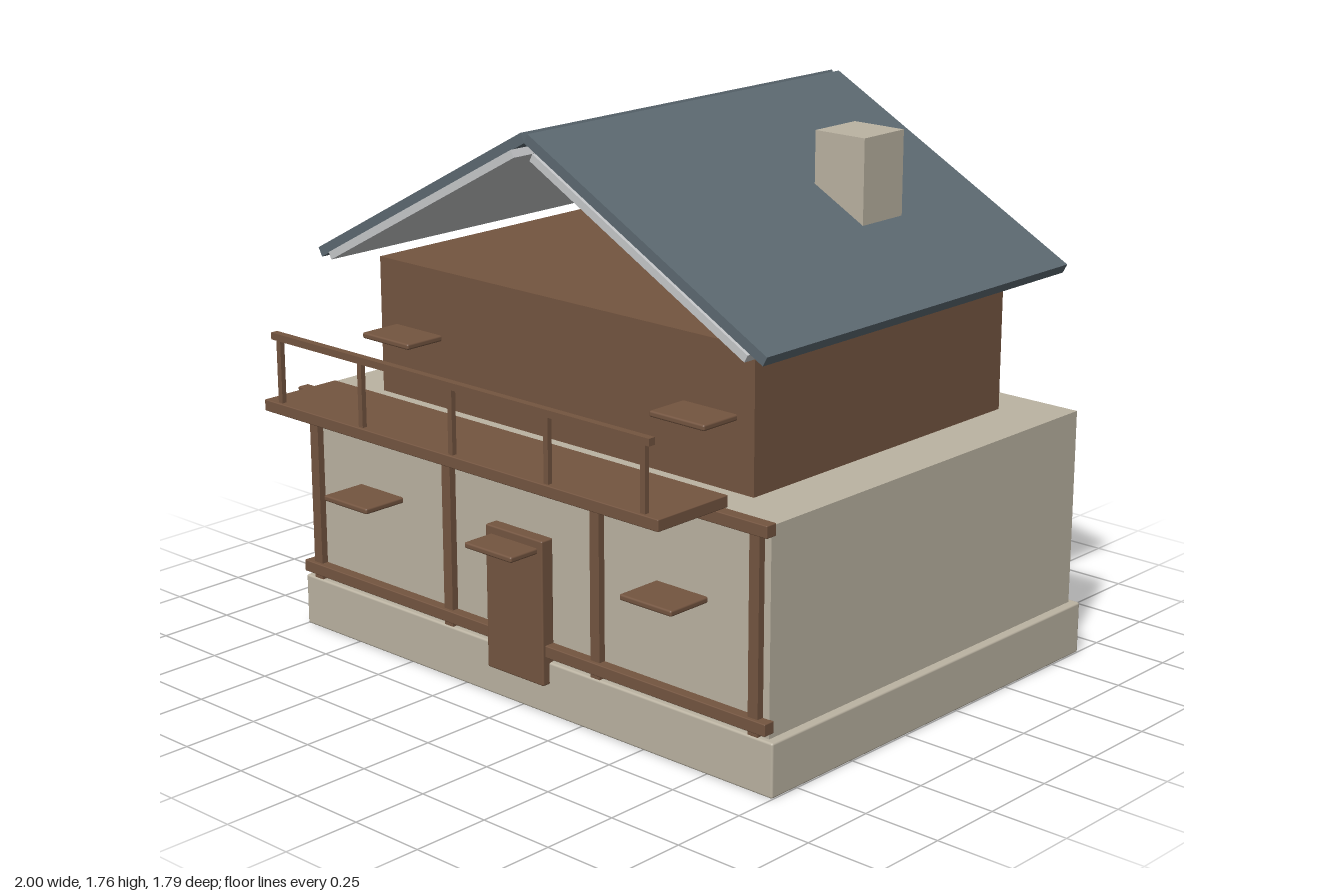
import * as THREE from 'three';
import { RoundedBoxGeometry } from 'three/addons/geometries/RoundedBoxGeometry.js';

const material = (name, color) => {
  const m = new THREE.MeshStandardMaterial({ color });
  m.name = name;
  return m;
};

export function createModel() {
  const stone = material('stone', 0xbbb3a2);
  const timber = material('timber', 0x745540);
  const slate = material('slate', 0x5c6971);
  const lining = material('roofLining', 0xc6c8ca);

  const house = new THREE.Group();
  house.name = 'house';

  // Box given by its extents on each axis; an optional radius softens the edges
  const block = (name, mat, [x0, x1], [y0, y1], [z0, z1], radius = 0) => {
    const size = [x1 - x0, y1 - y0, z1 - z0];
    const geometry = radius
      ? new RoundedBoxGeometry(...size, 2, radius)
      : new THREE.BoxGeometry(...size);
    const mesh = new THREE.Mesh(geometry, mat);
    mesh.name = name;
    mesh.position.set((x0 + x1) / 2, (y0 + y1) / 2, (z0 + z1) / 2);
    house.add(mesh);
    return mesh;
  };
  const around = (c, width) => [c - width / 2, c + width / 2];

  // Foundation and the two storeys
  block('foundation', stone, [-1, 1], [0, 0.17], [-0.893, 0.61], 0.007);
  block('lowerWalls', stone, [-0.972, 0.972], [0.165, 0.805], [-0.87, 0.592]);
  block('upperWalls', timber, [-0.78, 0.78], [0.8, 1.245], [-0.722, 0.445]);
  block('chimney', stone, [0.417, 0.605], [1.24, 1.71], [-0.43, -0.243]);

  // Timber frame on the front
  for (const y of [0.21, 0.797])
    block('frameBeam', timber, [-0.985, 0.985], around(y, 0.038), [0.587, 0.627], 0.003);
  for (const x of [-0.93, -0.315, 0.315, 0.93])
    block('framePost', timber, around(x, 0.037), [0.175, 0.8], [0.59, 0.615]);

  // Door
  block('door', timber, [-0.12, 0.12], [0.1, 0.562], [0.59, 0.637], 0.005);

  // Small canopies over the door and windows
  for (const x of [-0.638, 0, 0.638])
    block('lowerCanopy', timber, around(x, 0.2), around(0.527, 0.019), [0.585, 0.745], 0.006);
  for (const x of [-0.61, 0.61])
    block('upperCanopy', timber, around(x, 0.21), around(1.028, 0.019), [0.435, 0.585], 0.006);

  // Balcony deck and railing
  block('balconyDeck', timber, [-0.826, 0.826], [0.829, 0.865], [0.608, 0.893], 0.003);
  block('balconyRail', timber, [-0.788, 0.788], [1.063, 1.085], [0.864, 0.888]);
  for (const x of [-0.76, -0.39, 0, 0.39, 0.76])
    block('balconyPost', timber, around(x, 0.018), [0.86, 1.068], [0.868, 0.884]);

  // Pitched roof: a slate slab with a paler lining under it on each side
  const pitch = 0.492;
  for (const side of [-1, 1]) {
    const slope = new THREE.Group();
    slope.name = side > 0 ? 'leftRoof' : 'rightRoof';
    slope.position.set(side * 0.464, 1.503, 0);
    slope.rotation.z = -side * pitch;

    const slab = new THREE.Mesh(new THREE.BoxGeometry(1.038, 0.032, 1.414), slate);
    slab.name = 'roofSlab';
    slab.position.z = -0.138;

    const under = new THREE.Mesh(new THREE.BoxGeometry(0.935, 0.025, 1.436), lining);
    under.name = 'roofLining';
    under.position.set(0, -0.0285, -0.138);

    slope.add(slab, under);
    house.add(slope);
  }

  return house;
}
